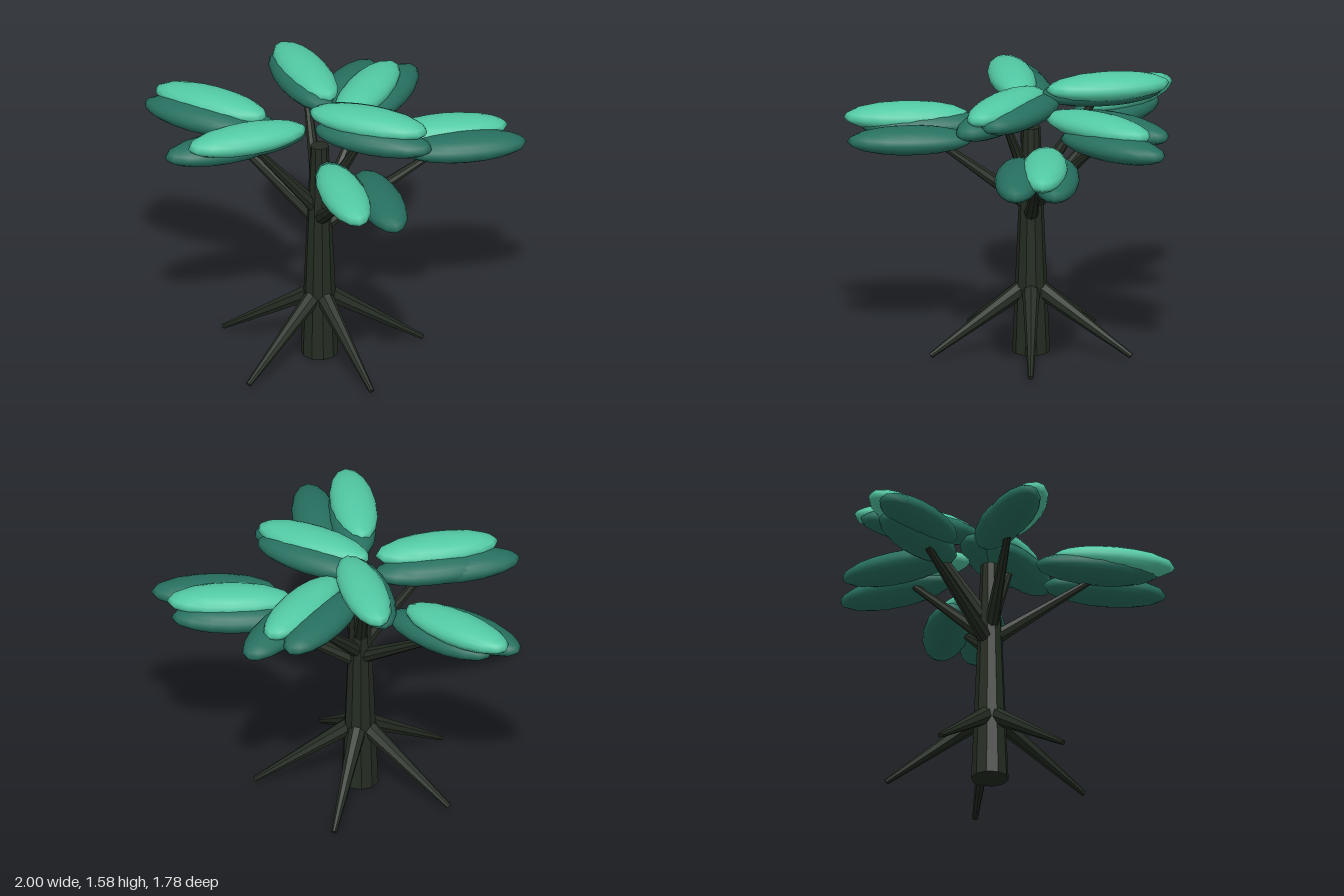
import * as THREE from 'three';

export function createModel() {
  const tree = new THREE.Group();
  tree.name = 'tree';

  const mat = (name, color, flat = false) => {
    const m = new THREE.MeshStandardMaterial({ color, flatShading: flat });
    m.name = name;
    return m;
  };
  const bark = mat('bark', 0x242c22, true);
  const lightLeaf = mat('lightLeaf', 0x52c9a4);
  const darkLeaf = mat('darkLeaf', 0x277060);

  const CX = -0.128, CZ = -0.135; // trunk axis

  // Tapered limb between two points
  function limb(name, from, to, r0, r1, sides = 8) {
    const a = new THREE.Vector3(...from), b = new THREE.Vector3(...to);
    const dir = b.clone().sub(a);
    const mesh = new THREE.Mesh(new THREE.CylinderGeometry(r1, r0, dir.length(), sides), bark);
    mesh.position.copy(a).add(b).multiplyScalar(0.5);
    mesh.quaternion.setFromUnitVectors(new THREE.Vector3(0, 1, 0), dir.normalize());
    mesh.name = name;
    tree.add(mesh);
  }

  // Trunk
  limb('trunk', [CX, 0, CZ], [CX, 1.27, CZ], 0.102, 0.05, 10);

  // Five roots spread evenly round the trunk
  for (let i = 0; i < 5; i++) {
    const a = (i / 5) * Math.PI * 2;
    limb('root', [CX, 0.39, CZ], [CX + 0.57 * Math.cos(a), 0.025, CZ + 0.57 * Math.sin(a)], 0.052, 0.015);
  }

  // Leaf pads: flattened ellipsoids, long axis along the cluster angle
  const leafGeo = new THREE.SphereGeometry(1, 16, 10);
  function leaf(x, y, z, degrees, material) {
    const mesh = new THREE.Mesh(leafGeo, material);
    mesh.scale.set(0.34, 0.077, 0.125);
    mesh.position.set(x, y, z);
    mesh.rotation.y = -THREE.MathUtils.degToRad(degrees);
    mesh.name = 'leafPad';
    return mesh;
  }

  // Each cluster: pad angle (x towards z), branch start height, branch end, pads (light first)
  const clusters = [
    { name: 'front', angle: 86, start: 0.85, end: [-0.07, 1.26, 0.45],
      pads: [[-0.136, 1.33, 0.54], [0.07, 1.255, 0.52], [-0.12, 1.29, 0.45]] },
    { name: 'middle', angle: 33, start: 0.95, end: [0.1, 1.4, 0.02],
      pads: [[0.115, 1.46, 0], [0.13, 1.385, 0.06], [0.125, 1.42, -0.08]] },
    { name: 'left', angle: 2, start: 0.8, end: [0.6, 1.19, -0.17],
      pads: [[0.585, 1.25, -0.21], [0.66, 1.215, -0.065], [0.565, 1.185, -0.275]] },
    { name: 'backLeft', angle: -54, start: 0.86, end: [0.21, 1.3, -0.53],
      pads: [[0.21, 1.375, -0.5], [0.33, 1.3, -0.58], [0.11, 1.34, -0.6]] },
    { name: 'back', angle: 78, start: 0.95, end: [-0.13, 1.45, -0.5],
      pads: [[-0.12, 1.502, -0.55], [-0.15, 1.465, -0.52]] },
    { name: 'backRight', angle: 41, start: 0.83, end: [-0.6, 1.22, -0.59],
      pads: [[-0.62, 1.31, -0.655], [-0.69, 1.26, -0.605], [-0.53, 1.225, -0.585]] },
    { name: 'right', angle: -9, start: 0.9, end: [-0.53, 1.36, -0.08],
      pads: [[-0.55, 1.415, -0.03], [-0.665, 1.34, -0.09], [-0.53, 1.35, -0.12]] },
  ];

  for (const c of clusters) {
    limb(c.name + 'Branch', [CX, c.start - 0.03, CZ], c.end, 0.042, 0.016);
    const foliage = new THREE.Group();
    foliage.name = c.name + 'Foliage';
    c.pads.forEach((p, i) => foliage.add(leaf(...p, c.angle, i === 0 ? lightLeaf : darkLeaf)));
    tree.add(foliage);
  }

  return tree;
}
